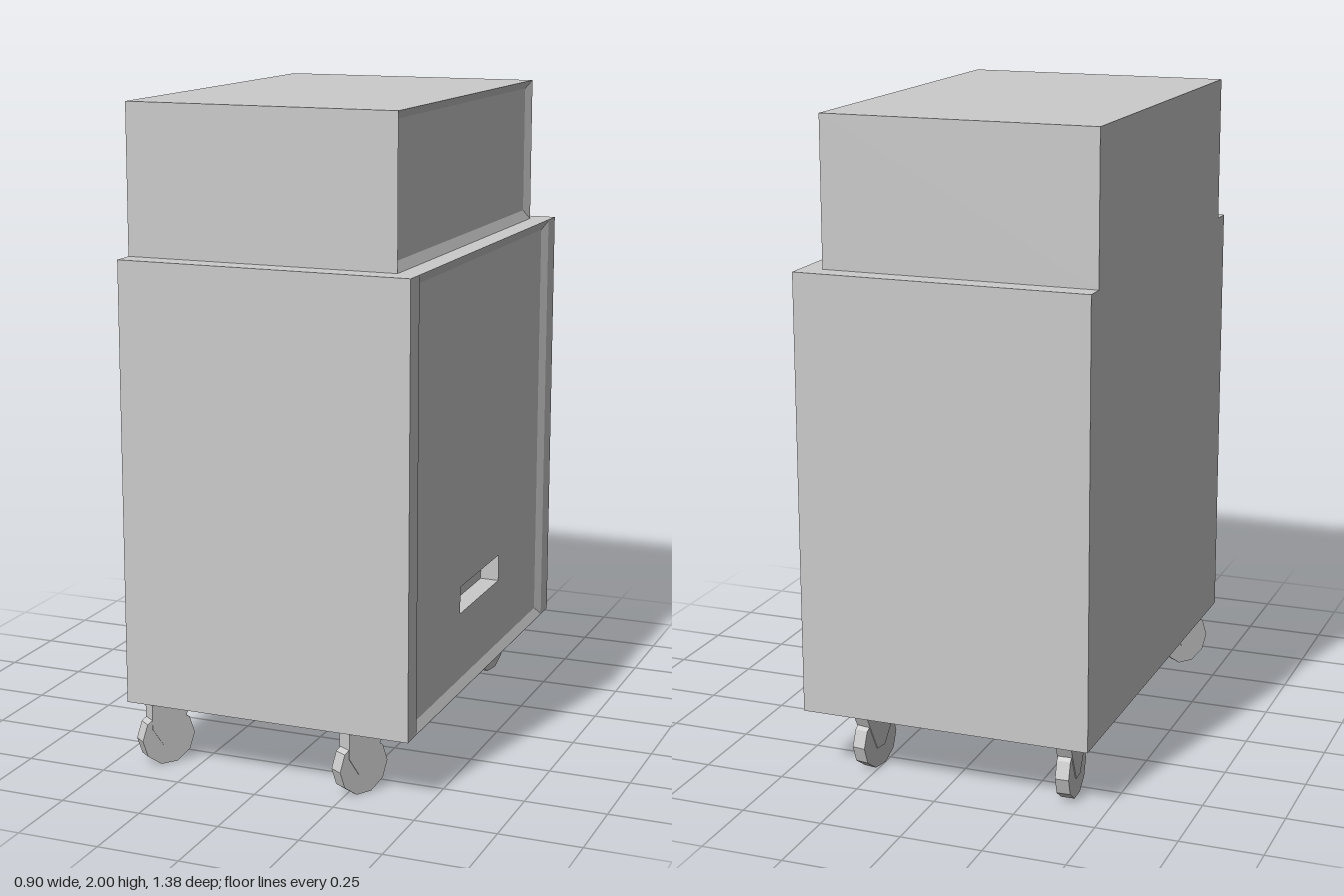
import * as THREE from 'three';

const material = new THREE.MeshStandardMaterial({ color: 0xcccccc, flatShading: true });

// Flat-sided shell through rectangular rings [x, y0, y1, z0, z1], capped at both ends.
// Rings that step inward on the +x side form rims, recesses and slots.
function ringShell(name, rings) {
  const corners = rings.map(([x, y0, y1, z0, z1]) => [[x, y0, z1], [x, y0, z0], [x, y1, z0], [x, y1, z1]]);
  const positions = [];
  const quad = (a, b, c, d) => positions.push(...a, ...b, ...c, ...a, ...c, ...d);
  for (let r = 0; r < corners.length - 1; r++) {
    for (let i = 0; i < 4; i++) {
      const j = (i + 1) % 4;
      quad(corners[r][i], corners[r][j], corners[r + 1][j], corners[r + 1][i]);
    }
  }
  const first = corners[0];
  quad(first[3], first[2], first[1], first[0]);
  quad(...corners[corners.length - 1]);
  const geometry = new THREE.BufferGeometry();
  geometry.setAttribute('position', new THREE.Float32BufferAttribute(positions, 3));
  geometry.computeVertexNormals();
  const mesh = new THREE.Mesh(geometry, material);
  mesh.name = name;
  return mesh;
}

// Swivel caster: ten-sided wheel and a tapered fork, turned by the given angle
function caster(name, x, z, degrees) {
  const group = new THREE.Group();
  group.name = name;

  const wheelGeometry = new THREE.CylinderGeometry(0.087, 0.087, 0.042, 10);
  wheelGeometry.rotateZ(Math.PI / 2);
  const wheel = new THREE.Mesh(wheelGeometry, material);
  wheel.name = 'wheel';
  wheel.position.y = 0.086;

  const profile = [[0.055, 0.205], [-0.085, 0.205], [-0.02, 0.065], [0.02, 0.065], [0.055, 0.12]];
  const shape = new THREE.Shape(profile.map(([u, v]) => new THREE.Vector2(u, v)));
  const forkGeometry = new THREE.ExtrudeGeometry(shape, { depth: 0.048, bevelEnabled: false });
  forkGeometry.translate(0, 0, -0.024);
  forkGeometry.rotateY(-Math.PI / 2);
  const fork = new THREE.Mesh(forkGeometry, material);
  fork.name = 'fork';

  group.add(wheel, fork);
  group.position.set(x, 0, z);
  group.rotation.y = -THREE.MathUtils.degToRad(degrees);
  return group;
}

export function createModel() {
  const model = new THREE.Group();
  model.name = 'wheeledCabinet';

  // Lower cabinet with a dished side panel and a grip slot
  model.add(ringShell('cabinetBody', [
    [-0.455, 0.2, 1.55, -0.685, 0.67],
    [0.45, 0.2, 1.55, -0.685, 0.67],
    [0.45, 0.203, 1.547, -0.615, 0.6],
    [0.435, 0.23, 1.52, -0.585, 0.57],
    [0.435, 0.44, 0.525, -0.19, 0.18],
    [0.38, 0.445, 0.525, -0.177, 0.167],
  ]));

  // Narrower upper box, dished out to its edges
  model.add(ringShell('upperBox', [
    [-0.455, 1.55, 2, -0.62, 0.6],
    [0.385, 1.55, 2, -0.62, 0.6],
    [0.37, 1.58, 1.975, -0.59, 0.57],
  ]));

  // Casters, each swivelled differently
  model.add(
    caster('frontRightCaster', -0.36, 0.605, 38),
    caster('frontLeftCaster', 0.275, 0.605, 31),
    caster('backLeftCaster', 0.275, -0.56, 10),
    caster('backRightCaster', -0.36, -0.56, -2),
  );
  return model;
}
